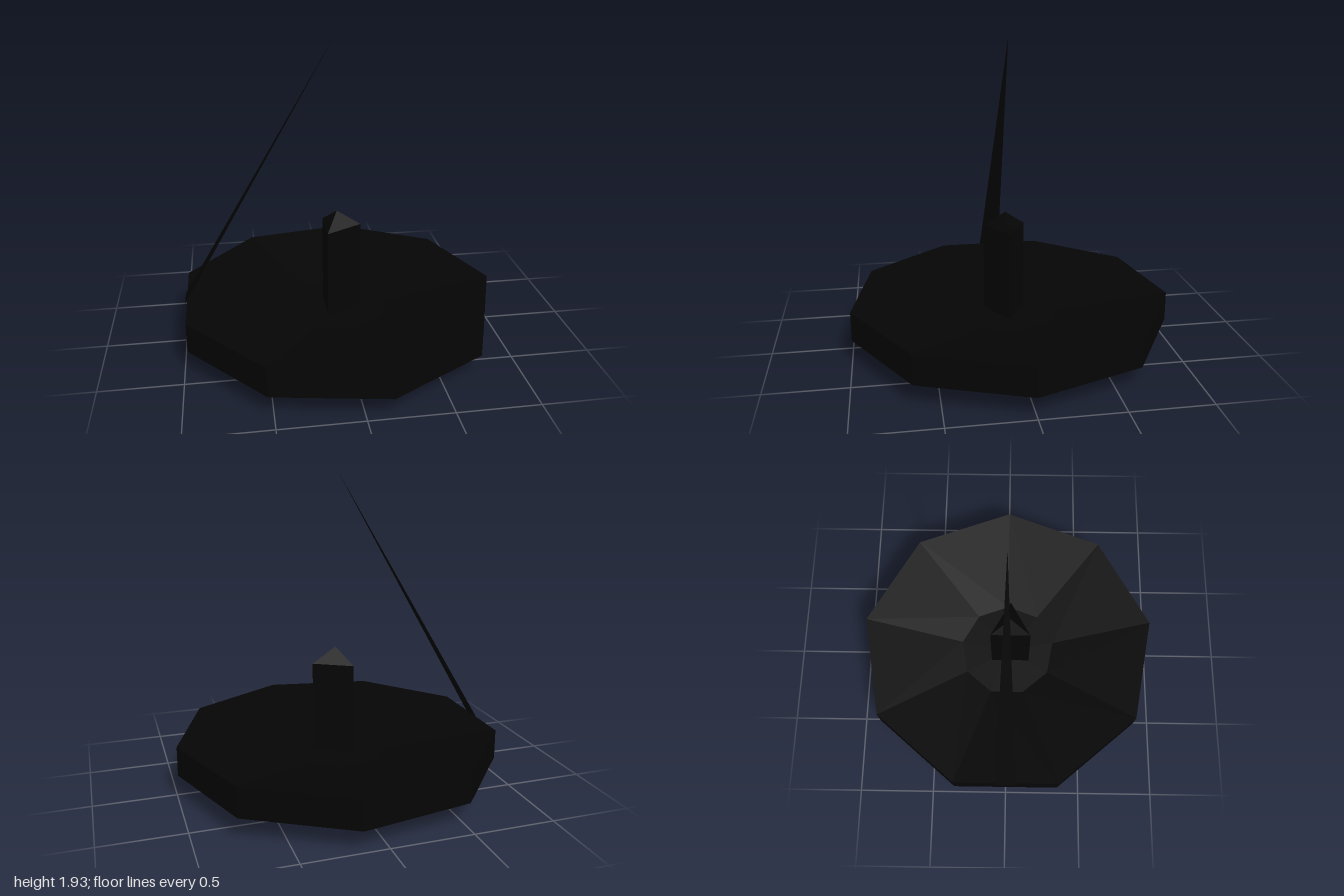
import * as THREE from 'three';

export function createModel() {
  const model = new THREE.Group();
  const black = new THREE.MeshStandardMaterial({ color: 0x050505, flatShading: true, side: THREE.DoubleSide });
  black.name = 'black';

  function add(name, geometry, parent, y = 0) {
    const mesh = new THREE.Mesh(geometry, black);
    mesh.name = name;
    mesh.position.y = y;
    parent.add(mesh);
  }

  // Open prism or cone standing on y = 0, with one corner pointing to +x
  function prism(topRadius, bottomRadius, height, sides) {
    return new THREE.CylinderGeometry(topRadius, bottomRadius, height, sides, 1, true, Math.PI / 2)
      .translate(0, height / 2, 0);
  }

  // Nine-sided dish: tapered underside, upright rim and a hollow top parallel to the underside
  const rimRadius = 1.015, floorRadius = 0.325, slope = 0.125, thickness = 0.185;
  const dish = new THREE.Group();
  dish.name = 'dish';
  dish.position.x = -0.025;
  add('dishUnderside', prism(rimRadius, floorRadius, slope, 9), dish);
  add('dishBottom', new THREE.CircleGeometry(floorRadius, 9).rotateX(Math.PI / 2), dish);
  add('dishRim', prism(rimRadius, rimRadius, thickness, 9), dish, slope);
  // Mirrored in winding so that the hollow faces up and inward
  const hollow = prism(rimRadius, floorRadius, slope, 9);
  hollow.setIndex([...hollow.index.array].reverse());
  hollow.computeVertexNormals();
  add('dishHollow', hollow, dish, thickness);
  add('dishFloor', new THREE.CircleGeometry(floorRadius, 9).rotateX(-Math.PI / 2), dish, thickness);
  model.add(dish);

  // Three-sided post with a pointed cap, standing on the dish floor
  const post = new THREE.Group();
  post.name = 'post';
  post.position.set(-0.025, 0, 0.02);
  add('postShaft', prism(0.15, 0.15, 0.75 - thickness, 3), post, thickness);
  add('postCap', prism(0, 0.15, 0.1, 3), post, 0.75);
  model.add(post);

  // Flat leaning pointer, from the rim up to a sharp tip over the middle
  const pointer = new THREE.BufferGeometry().setFromPoints([
    new THREE.Vector3(-0.99, 0.3, -0.07),
    new THREE.Vector3(-0.99, 0.3, 0.07),
    new THREE.Vector3(-0.03, 1.935, 0),
  ]);
  pointer.computeVertexNormals();
  add('pointer', pointer, model);

  return model;
}
